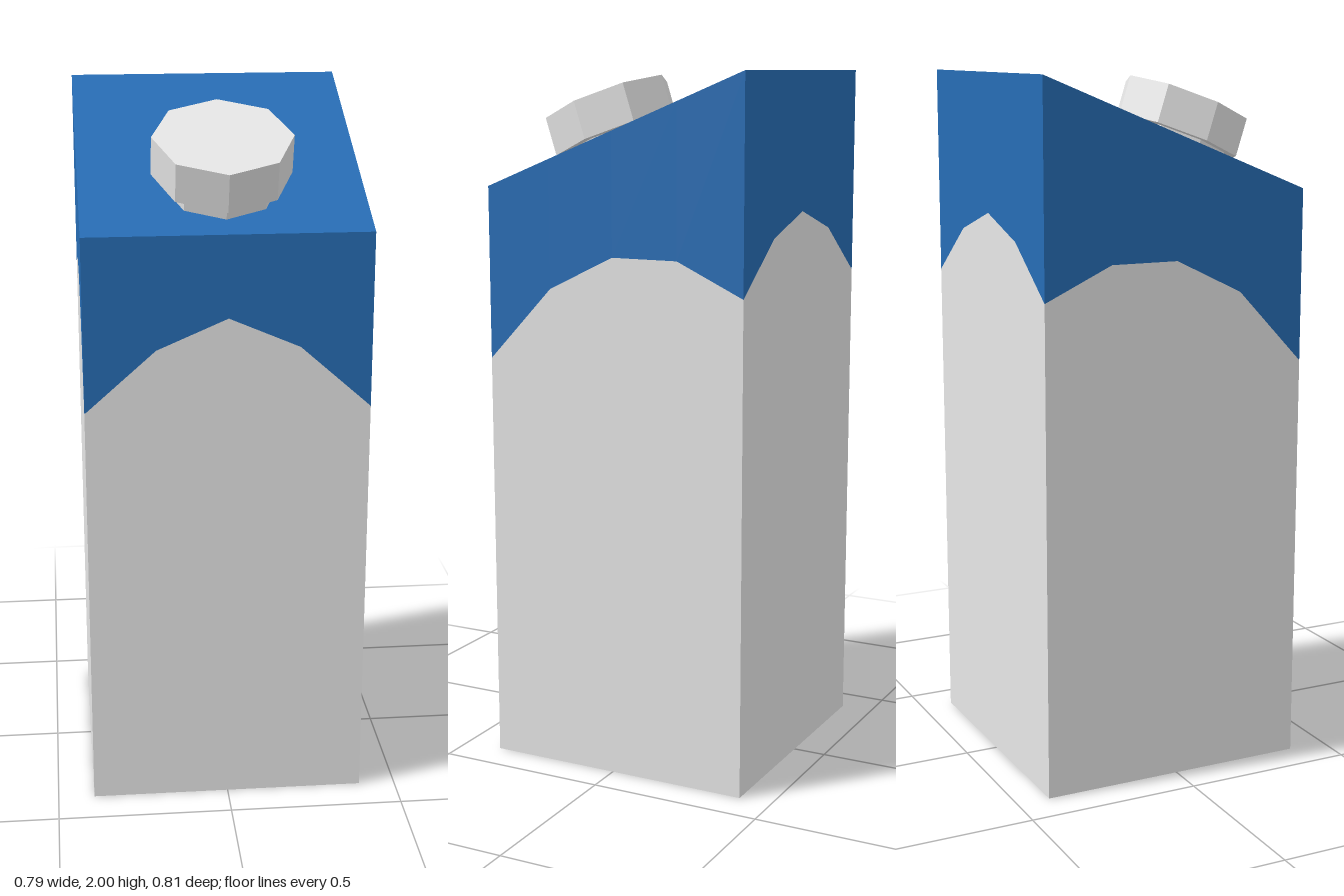
import * as THREE from 'three';

const white = new THREE.MeshStandardMaterial({ color: 0xe6e6e6 });
white.name = 'white';
const blue = new THREE.MeshStandardMaterial({ color: 0x276db5 });
blue.name = 'blue';

const X = 0.395, FRONT = 0.387, BACK = -0.405;
const FRONT_TOP = 1.68, BACK_TOP = 2;

// Flat-shaded mesh from four-cornered faces, corners counterclockwise from outside
function quadMesh(name, quads, material) {
  const points = quads.flatMap(([a, b, c, d]) => [a, b, c, a, c, d]).flat();
  const geometry = new THREE.BufferGeometry();
  geometry.setAttribute('position', new THREE.Float32BufferAttribute(points, 3));
  geometry.computeVertexNormals();
  const mesh = new THREE.Mesh(geometry, material);
  mesh.name = name;
  return mesh;
}

// Octagonal prism with its axis leaning along the sloped roof
function prism(name, radius, from, to) {
  const geometry = new THREE.CylinderGeometry(radius, radius, to - from, 8).toNonIndexed();
  geometry.translate(0, (from + to) / 2, 0);
  const lean = new THREE.Matrix4().makeBasis(
    new THREE.Vector3(1, 0, 0),
    new THREE.Vector3(0, 0.107, 0.0345),
    new THREE.Vector3(0, -0.372, 0.928)
  ).setPosition(0, 1.807, 0.188);
  geometry.applyMatrix4(lean);
  geometry.computeVertexNormals();
  const mesh = new THREE.Mesh(geometry, white);
  mesh.name = name;
  return mesh;
}

export function createModel() {
  const group = new THREE.Group();
  group.name = 'carton';

  // Walls: start and end corner, with the heights of the colour border between them
  const corners = [[-X, FRONT], [X, FRONT], [X, BACK], [-X, BACK]];
  const borders = [
    [1.19, 1.365, 1.45, 1.365, 1.19],
    [1.19, 1.4, 1.497, 1.497, 1.405],
    [1.405, 1.548, 1.61, 1.548, 1.405],
    [1.405, 1.497, 1.497, 1.4, 1.19],
  ];
  const topAt = z => THREE.MathUtils.mapLinear(z, FRONT, BACK, FRONT_TOP, BACK_TOP);
  const lower = [], upper = [];
  borders.forEach((heights, w) => {
    const [ax, az] = corners[w], [bx, bz] = corners[(w + 1) % 4];
    const at = (i, y) => {
      const z = az + (bz - az) * i / 4;
      return [ax + (bx - ax) * i / 4, y ?? topAt(z), z];
    };
    for (let i = 0; i < 4; i++) {
      const left = at(i, heights[i]), right = at(i + 1, heights[i + 1]);
      lower.push([at(i, 0), at(i + 1, 0), right, left]);
      upper.push([left, right, at(i + 1), at(i)]);
    }
  });

  // Base and sloped roof
  lower.push(corners.map(([x, z]) => [x, 0, z]).reverse());
  upper.push(corners.map(([x, z]) => [x, topAt(z), z]));
  group.add(quadMesh('lowerCarton', lower, white), quadMesh('upperCarton', upper, blue));

  // Spout and screw cap
  group.add(prism('spout', 0.158, -0.7, 0.05), prism('cap', 0.195, 0, 1));
  return group;
}
